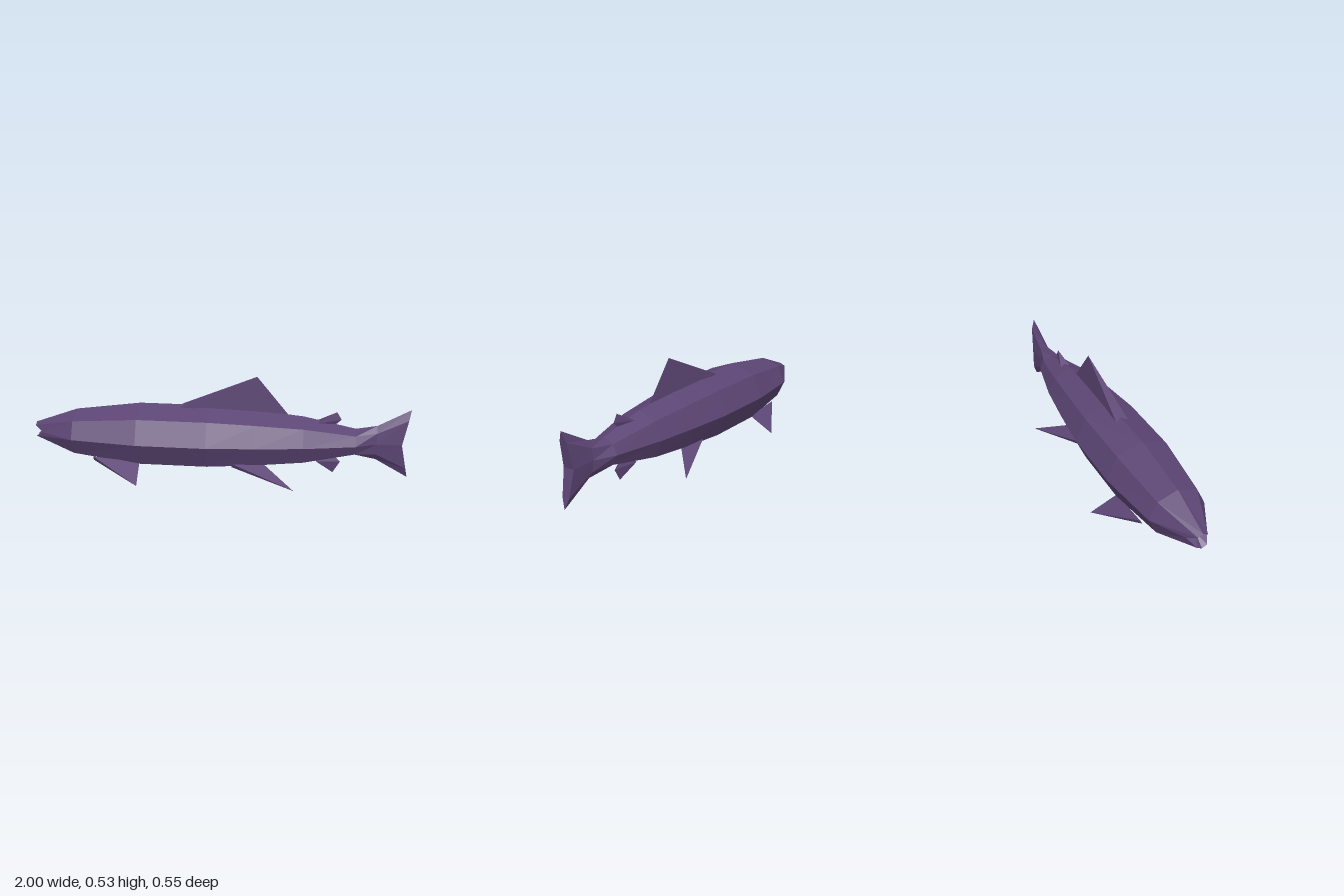
import * as THREE from 'three';
import { ConvexGeometry } from 'three/addons/geometries/ConvexGeometry.js';

const MID = 0.192; // height of the body axis

// Each section: x, half height, diagonal [y, z], side half width, x shifts of diagonal and side
const SECTIONS = [
  [-1.0, 0.043, 0.03, 0.026, 0.055, 0, 0.05],
  [-0.77, 0.126, 0.09, 0.106, 0.15, 0, 0],
  [-0.42, 0.173, 0.123, 0.136, 0.192, 0, 0],
  [-0.05, 0.173, 0.123, 0.136, 0.192, 0, 0],
  [0.2, 0.155, 0.11, 0.12, 0.168, 0, 0],
  [0.45, 0.13, 0.092, 0.098, 0.137, 0, 0],
  [0.72, 0.073, 0.05, 0.056, 0.079, 0, 0],
  [0.83, 0.093, 0.058, 0.024, 0.03, 0, 0],
  [1.0, 0.187, 0.133, 0.02, 0.03, -0.012, -0.04],
];

// Eight corners of a section, from the top round through +z
function ring([x, h, dy, dz, w, dx, sx]) {
  return [
    [x, h, 0], [x + dx, dy, dz], [x + sx, 0, w], [x + dx, -dy, dz],
    [x, -h, 0], [x + dx, -dy, -dz], [x + sx, 0, -w], [x + dx, dy, -dz],
  ].map(([px, py, pz]) => [px, py + MID, pz]);
}

// Faceted loft through the sections, closed at both ends
function loft(sections, noseX, tailX) {
  const rings = sections.map(ring);
  const pos = [];
  const tri = (...corners) => corners.forEach((c) => pos.push(...c));
  for (let i = 0; i < 8; i++) {
    const j = (i + 1) % 8;
    for (let s = 0; s < rings.length - 1; s++) {
      const a = rings[s], b = rings[s + 1];
      tri(a[i], a[j], b[i]);
      tri(a[j], b[j], b[i]);
    }
    const last = rings[rings.length - 1];
    tri([noseX, MID, 0], rings[0][j], rings[0][i]);
    tri([tailX, MID, 0], last[i], last[j]);
  }
  const g = new THREE.BufferGeometry();
  g.setAttribute('position', new THREE.Float32BufferAttribute(pos, 3));
  g.computeVertexNormals();
  return g;
}

// Wedge fin: thick at its leading root, sharp at the other points
function fin(root, thick, points) {
  const r = new THREE.Vector3(...root), t = new THREE.Vector3(...thick);
  return new ConvexGeometry([
    r.clone().add(t), r.clone().sub(t),
    ...points.map((p) => new THREE.Vector3(...p)),
  ]);
}

export function createModel() {
  const group = new THREE.Group();
  const purple = new THREE.MeshStandardMaterial({ color: 0x5c4574 });
  purple.name = 'dusky purple';
  purple.flatShading = true;
  const add = (name, geometry) => {
    const mesh = new THREE.Mesh(geometry, purple);
    mesh.name = name;
    group.add(mesh);
  };

  // Body with open mouth and forked tail
  add('bodyAndTail', loft(SECTIONS, -0.94, 0.96));

  // Fins on the centre line
  add('dorsalFin', fin([-0.2, 0.357, 0], [0, 0, 0.033], [[0.2, 0.53, 0], [0.37, 0.325, 0]]));
  add('adiposeFin', fin([0.52, 0.295, 0], [0, 0, 0.028], [[0.62, 0.352, 0], [0.645, 0.312, 0], [0.6, 0.27, 0]]));
  add('analFin', fin([0.52, 0.085, 0], [0, 0, 0.035], [[0.61, 0.012, 0], [0.647, 0.075, 0], [0.61, 0.11, 0]]));

  // Paired fins, mirrored in z
  for (const [side, s] of [['left', 1], ['right', -1]]) {
    add(side + 'PectoralFin', fin([-0.66, 0.085, 0.125 * s], [0, 0.012, 0.006 * s],
      [[-0.4, 0.002, 0.273 * s], [-0.41, 0.075, 0.13 * s]]));
    add(side + 'PelvicFin', fin([0.08, 0.078, 0.125 * s], [0, 0.012, 0.006 * s],
      [[0.41, 0.005, 0.25 * s], [0.25, 0.085, 0.11 * s]]));
  }
  return group;
}
